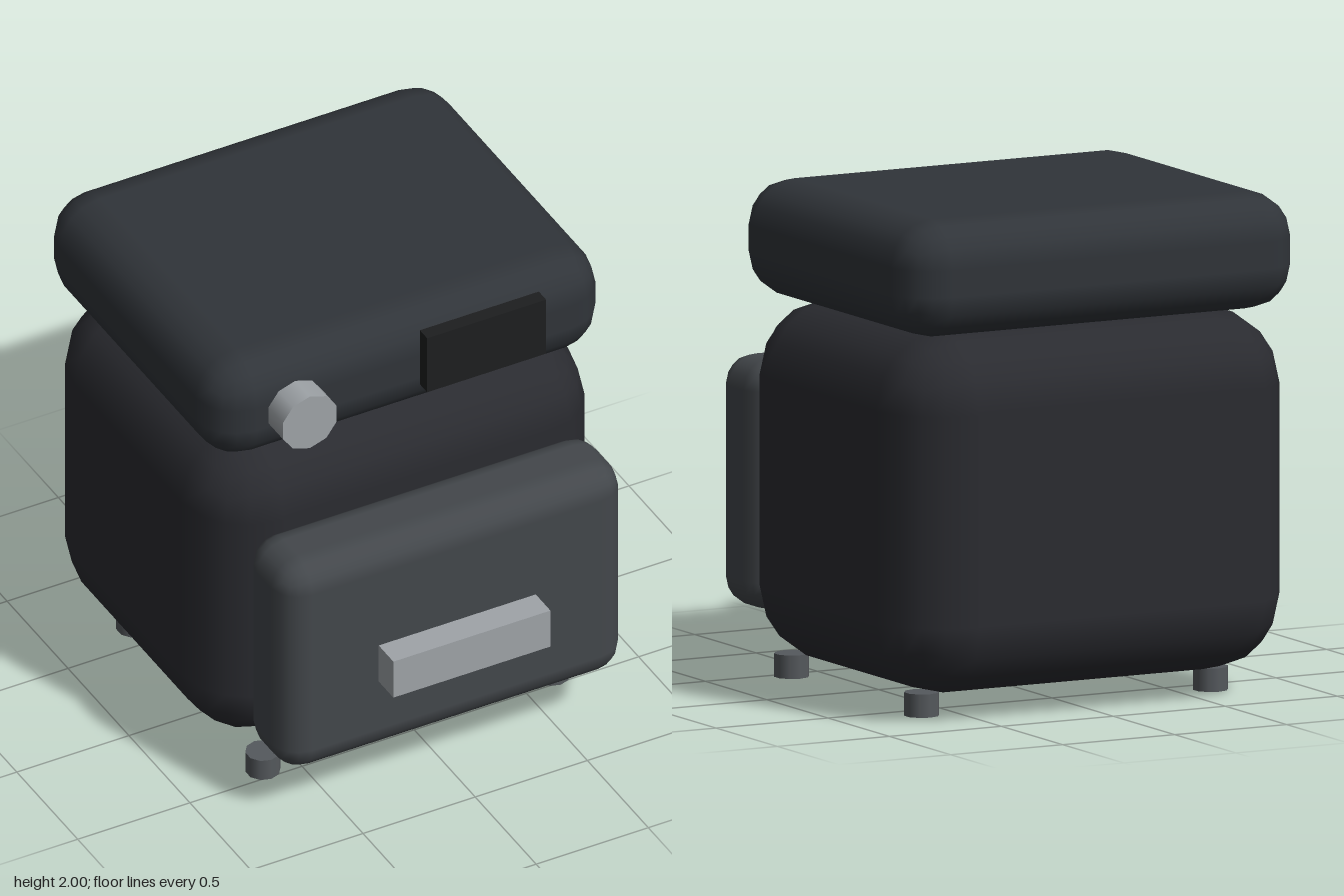
import * as THREE from 'three';
import { RoundedBoxGeometry } from 'three/addons/geometries/RoundedBoxGeometry.js';

const mat = (color) => new THREE.MeshStandardMaterial({ color });

export function createModel() {
  const model = new THREE.Group();
  const shell = mat(0x2a2b30);
  const lidPaint = mat(0x303439);
  const drawerPaint = mat(0x43474b);
  const metal = mat(0x9fa4a8);
  const footPaint = mat(0x55595d);
  const glass = mat(0x1d1e1f);

  const add = (name, geometry, material, x, y, z) => {
    const mesh = new THREE.Mesh(geometry, material);
    mesh.name = name;
    mesh.position.set(x, y, z);
    model.add(mesh);
    return mesh;
  };

  // Main housing and the softer-edged lid stacked on it
  add('body', new RoundedBoxGeometry(1.76, 1.44, 1.47, 2, 0.3), shell, 0, 0.813, -0.235);
  add('lid', new RoundedBoxGeometry(1.76, 0.467, 1.47, 2, 0.18), lidPaint, 0, 1.7665, -0.235);

  // Drawer front with its bar handle
  add('drawer', new RoundedBoxGeometry(1.53, 1.0, 0.353, 2, 0.12), drawerPaint, 0, 0.74, 0.676);
  add('drawerHandle', new THREE.BoxGeometry(0.7, 0.176, 0.13), metal, 0, 0.681, 0.908);

  // Control knob and display on the lid's front
  const knob = add('knob', new THREE.CylinderGeometry(0.126, 0.126, 0.118, 10), metal, -0.53, 1.77, 0.559);
  knob.rotation.x = Math.PI / 2;
  add('display', new THREE.BoxGeometry(0.53, 0.264, 0.06), glass, 0.29, 1.813, 0.53);

  // Four short feet
  const foot = new THREE.CylinderGeometry(0.07, 0.07, 0.093, 10);
  for (const x of [-0.645, 0.645]) {
    for (const z of [0.445, -0.615]) add('foot', foot, footPaint, x, 0.0465, z);
  }

  return model;
}
